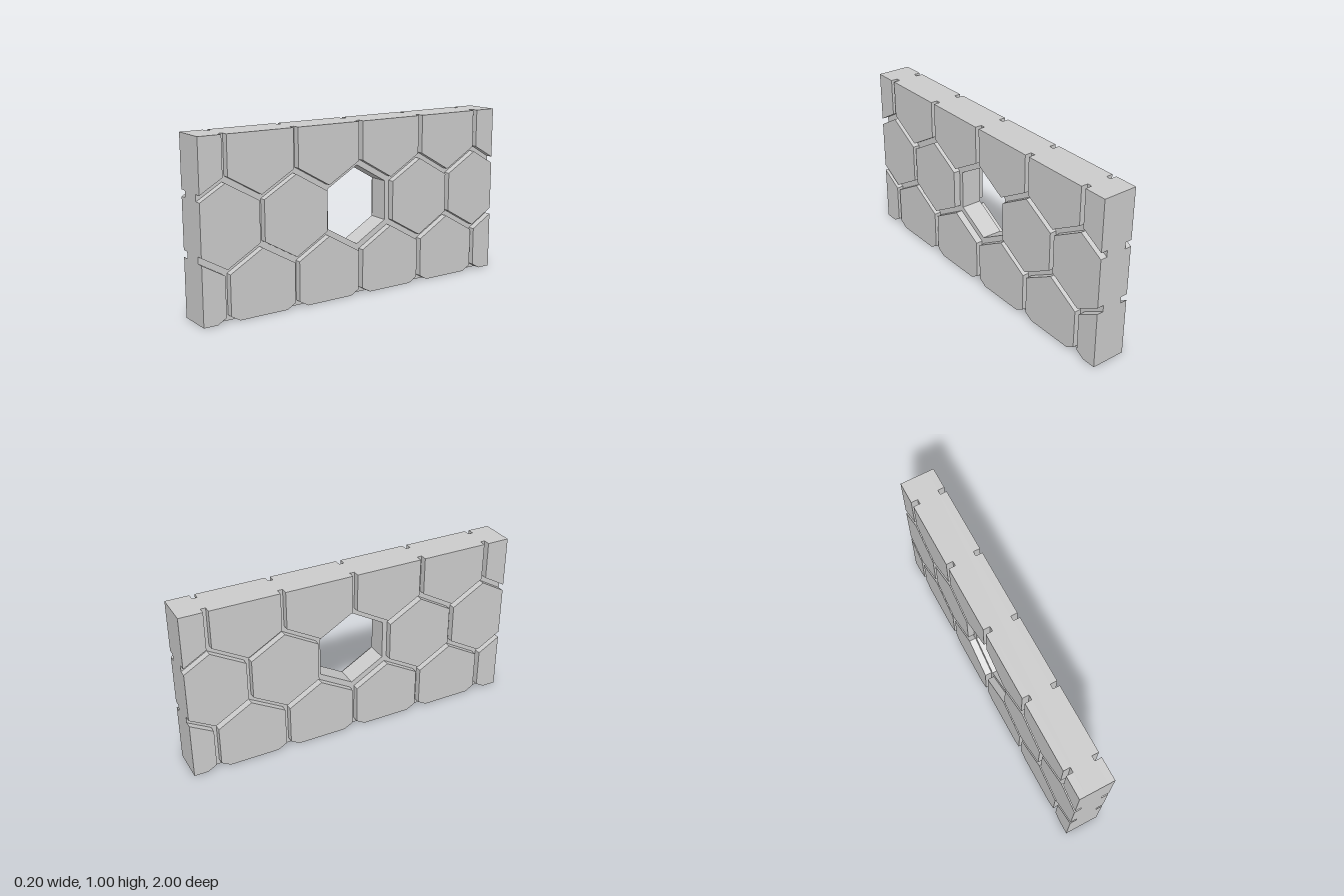
import * as THREE from 'three';

const HALF_LENGTH = 1, HEIGHT = 1;
const CORE = 0.062, FACE = 0.102;           // half thickness of the core and of the whole panel
const R = 0.2295;                           // hexagon corner radius
const PITCH = 0.426, ROW = 0.374, MID = 0.519;

// Pointy-top hexagon around (z, y), counter-clockwise
function hexagon(z, y) {
  return Array.from({ length: 6 }, (_, i) => {
    const a = Math.PI / 6 + i * Math.PI / 3;
    return new THREE.Vector2(z + R * Math.cos(a), y + R * Math.sin(a));
  });
}

// Keep the part of a convex polygon where sign * (p[axis] - limit) <= 0
function clip(points, axis, limit, sign) {
  const out = [];
  points.forEach((p, i) => {
    const q = points[(i + 1) % points.length];
    const dp = sign * (p[axis] - limit), dq = sign * (q[axis] - limit);
    if (dp <= 0) out.push(p);
    if (dp * dq < 0) out.push(p.clone().lerp(q, dp / (dp - dq)));
  });
  return out;
}

function clipToPanel(points) {
  points = clip(points, 'x', HALF_LENGTH, 1);
  points = clip(points, 'x', -HALF_LENGTH, -1);
  points = clip(points, 'y', HEIGHT, 1);
  return clip(points, 'y', 0, -1);
}

// Extrude a (z, y) outline across x, centred on x = 0
function slab(shape, thickness) {
  const g = new THREE.ExtrudeGeometry(shape, { depth: thickness, bevelEnabled: false });
  g.translate(0, 0, -thickness / 2);
  g.rotateY(-Math.PI / 2);
  return g;
}

export function createModel() {
  const group = new THREE.Group();
  group.name = 'honeycombPanel';
  const material = new THREE.MeshStandardMaterial({ color: 0xcccccc, flatShading: true });

  // Core slab with the hexagonal opening
  const outline = new THREE.Shape([
    new THREE.Vector2(-HALF_LENGTH, 0), new THREE.Vector2(HALF_LENGTH, 0),
    new THREE.Vector2(HALF_LENGTH, HEIGHT), new THREE.Vector2(-HALF_LENGTH, HEIGHT),
  ]);
  outline.holes.push(new THREE.Path(hexagon(0, MID).reverse()));
  const core = new THREE.Mesh(slab(outline, CORE * 2), material);
  core.name = 'core';
  group.add(core);

  // Raised hexagonal tiles on both faces, trimmed at the panel edges
  const tiles = { 1: new THREE.Group(), '-1': new THREE.Group() };
  tiles[1].name = 'leftTiles';
  tiles[-1].name = 'rightTiles';
  for (let row = -1; row <= 1; row++) {
    for (let col = -3; col <= 3; col++) {
      if (row === 0 && col === 0) continue; // opening
      const z = (col + (row === 0 ? 0 : 0.5)) * PITCH;
      const points = clipToPanel(hexagon(z, MID + row * ROW));
      if (points.length < 3) continue;
      const geometry = slab(new THREE.Shape(points), FACE - CORE);
      for (const side of [1, -1]) {
        const tile = new THREE.Mesh(geometry, material);
        tile.name = 'tile';
        tile.position.x = side * (CORE + FACE) / 2;
        tiles[side].add(tile);
      }
    }
  }
  group.add(tiles[1], tiles[-1]);
  return group;
}
